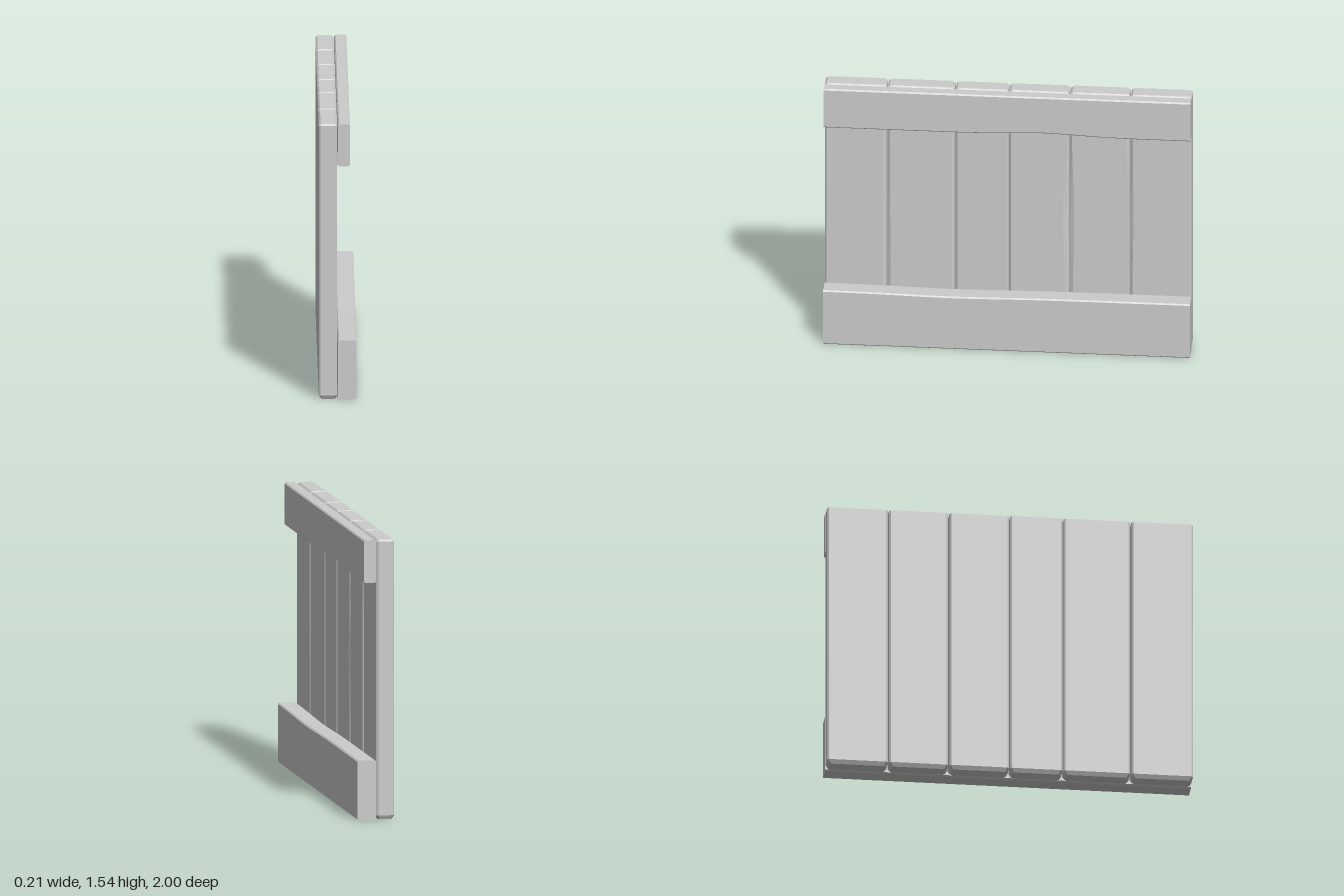
import * as THREE from 'three';

const material = new THREE.MeshStandardMaterial({ color: 0xcccccc, flatShading: true });

// Skin a list of closed cross-sections, each counter-clockwise about the lofting direction, and cap both ends
function loft(name, rings) {
  const n = rings[0].length;
  const index = [];
  for (let r = 0; r < rings.length - 1; r++) {
    for (let i = 0; i < n; i++) {
      const a = r * n + i, b = r * n + (i + 1) % n;
      index.push(a, b, b + n, a, b + n, a + n);
    }
  }
  const last = (rings.length - 1) * n;
  for (let i = 1; i < n - 1; i++) {
    index.push(0, i + 1, i, last, last + i, last + i + 1);
  }
  const indexed = new THREE.BufferGeometry();
  indexed.setAttribute('position', new THREE.Float32BufferAttribute(rings.flat(2), 3));
  indexed.setIndex(index);
  const geometry = indexed.toNonIndexed();
  geometry.computeVertexNormals();
  const mesh = new THREE.Mesh(geometry, material);
  mesh.name = name;
  return mesh;
}

// Rectangle with cut corners, counter-clockwise
const octagon = (u0, u1, v0, v1, c) => [
  [u0 + c, v0], [u1 - c, v0], [u1, v0 + c], [u1, v1 - c],
  [u1 - c, v1], [u0 + c, v1], [u0, v1 - c], [u0, v0 + c],
];

// Smooth bump of the given width around a centre
const bump = (t, centre, width) => Math.exp(-(((t - centre) / width) ** 2));

const HEIGHT = 1.54;
const BACK = -0.103, FACE = -0.003;

// Seams between planks: z position and how far the worn front edge wanders
const seams = [
  { z: -1, wander: () => 0 },
  { z: -0.665, wander: y => 0.008 * bump(y, 1.4, 0.3) - 0.005 * bump(y, 0.85, 0.25) },
  { z: -0.335, wander: y => 0.024 * bump(y, 0.78, 0.28) + 0.01 * bump(y, 0.3, 0.25) },
  { z: -0.003, wander: () => 0 },
  { z: 0.29, wander: () => 0.003 },
  { z: 0.66, wander: y => 0.006 + 0.005 * bump(y, 0.5, 0.3) },
  { z: 1, wander: () => 0 },
];

// Vertical plank between two seams, with bevels along its edges and ends
function plank(left, right, number) {
  const gap = 0.003, cut = 0.01;
  const z0 = left.z + (left.z > -1 ? gap : 0);
  const z1 = right.z - (right.z < 1 ? gap : 0);
  const ring = (y, inset) => {
    const section = octagon(z0 + inset, z1 - inset, BACK + inset, FACE - inset, cut);
    return section.map(([z, x], i) => {
      // Only the two front edge points follow the worn seam
      const shift = i === 4 ? Math.min(0, right.wander(y)) - Math.abs(right.wander(y)) * 0.5
        : i === 5 ? Math.max(0, left.wander(y)) : 0;
      return [x, y, z + shift];
    });
  };
  const rings = [ring(0, 0.012), ring(0.022, 0)];
  for (let k = 1; k < 12; k++) rings.push(ring(0.022 + (HEIGHT - 0.032) * k / 12, 0));
  rings.push(ring(HEIGHT - 0.01, 0), ring(HEIGHT, 0.01));
  return loft('plank' + number, rings);
}

// Horizontal rail whose bottom or top edge is slightly uneven along z
function rail(name, depth, y0, y1, lowEdge, highEdge) {
  const rings = [];
  for (let k = 0; k <= 20; k++) {
    const z = -1 + k / 10;
    rings.push(octagon(0, depth, y0 + lowEdge(z), y1 + highEdge(z), 0.007).map(([x, y]) => [x, y, z]));
  }
  return loft(name, rings);
}

export function createModel() {
  const model = new THREE.Group();
  model.name = 'plankPanel';

  // Row of planks
  const planks = new THREE.Group();
  planks.name = 'planks';
  for (let i = 0; i < seams.length - 1; i++) planks.add(plank(seams[i], seams[i + 1], i + 1));
  model.add(planks);

  // Cross rails on the face of the planks
  const straight = () => 0;
  model.add(rail('bottomRail', 0.103, 0, 0.328, straight, z => -0.009 * bump(z, 0.3, 0.35)));
  model.add(rail('topRail', 0.066, 1.305, HEIGHT, z => 0.015 * bump(z, -0.2, 0.25), straight));
  return model;
}
